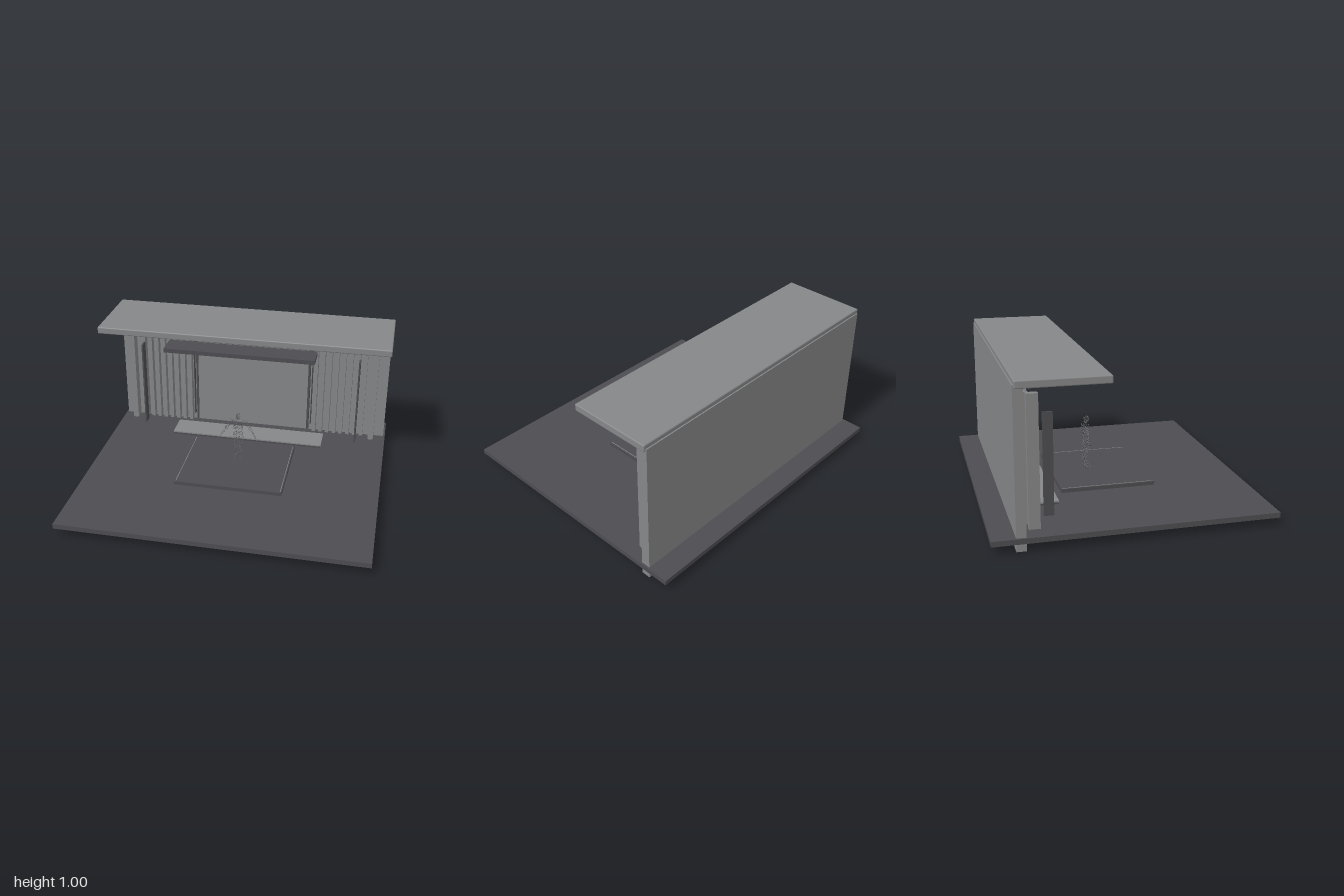
import * as THREE from 'three';
import { mergeGeometries } from 'three/addons/utils/BufferGeometryUtils.js';
import { RoundedBoxGeometry } from 'three/addons/geometries/RoundedBoxGeometry.js';

const material = (name, color) => {
  const m = new THREE.MeshStandardMaterial({ color });
  m.name = name;
  return m;
};

export function createModel() {
  const model = new THREE.Group();
  model.name = 'stageSet';
  const light = material('lightGrey', 0x858687);
  const dark = material('charcoal', 0x4d4c51);
  const dots = material('figureGrey', 0x5c5c5e);

  // Box given by its extents on each axis; r rounds the edges
  const box = (name, mat, [x0, x1], [y0, y1], [z0, z1], r = 0) => {
    const size = [x1 - x0, y1 - y0, z1 - z0];
    const geo = r ? new RoundedBoxGeometry(...size, 2, r) : new THREE.BoxGeometry(...size);
    const mesh = new THREE.Mesh(geo, mat);
    mesh.position.set((x0 + x1) / 2, (y0 + y1) / 2, (z0 + z1) / 2);
    mesh.name = name;
    model.add(mesh);
  };
  // Same box on both sides, centred at +x and -x
  const pair = (name, mat, x, w, y, z) => {
    for (const s of [1, -1]) {
      box(name + (s > 0 ? 'Left' : 'Right'), mat, [s * x - w / 2, s * x + w / 2], y, z);
    }
  };

  // Main shell
  box('floor', dark, [-1, 1], [0.05, 0.083], [-0.873, 0.873]);
  box('backWall', light, [-0.988, 0.988], [0, 0.967], [-0.73, -0.67]);
  box('roof', light, [-1, 1], [0.947, 0.995], [-0.722, -0.172], 0.008);

  // Hanging light bar with its diffuser
  box('lightBar', dark, [-0.51, 0.51], [0.886, 0.914], [-0.246, -0.092]);
  box('lightBarDiffuser', dark, [-0.49, 0.49], [0.88, 0.886], [-0.212, -0.104]);

  // Screen and its dark frame
  box('screen', light, [-0.412, 0.412], [0.096, 0.868], [-0.671, -0.65]);
  box('screenFrameTop', dark, [-0.428, 0.428], [0.866, 0.876], [-0.671, -0.646]);
  pair('screenFrameSide', dark, 0.42, 0.016, [0.096, 0.866], [-0.671, -0.646]);
  pair('screenLightStrip', dark, 0.442, 0.006, [0.14, 0.835], [-0.671, -0.64]);

  // Slatted side walls
  for (let i = 0; i < 8; i++) {
    pair('slat' + i, light, 0.47 + i * 0.05, 0.026, [0.096, 0.888], [-0.671, -0.62]);
  }
  pair('pilaster', light, 0.896, 0.038, [0.096, 0.898], [-0.645, -0.576]);
  pair('fin', dark, 0.785, 0.011, [0.118, 0.752], [-0.535, -0.473]);
  pair('valanceEnd', dark, 0.518, 0.008, [0.825, 0.888], [-0.622, -0.6]);

  // Rear ledge and centre platform with inlaid edge lines
  box('ledgeBase', dark, [-0.545, 0.545], [0.083, 0.097], [-0.578, -0.4]);
  box('ledgeTop', light, [-0.55, 0.55], [0.097, 0.106], [-0.578, -0.396]);
  box('platform', dark, [-0.367, 0.367], [0.083, 0.108], [-0.345, 0.275]);
  pair('platformInlay', light, 0.357, 0.004, [0.108, 0.11], [-0.335, 0.265]);

  // Figure made of small beads scattered over ellipsoids and tapered limbs
  let seed = 7;
  const rnd = () => (seed = (seed * 16807) % 2147483647) / 2147483647;
  const beads = [];
  const bead = (x, y, z) => beads.push(new THREE.OctahedronGeometry(0.0026).translate(x, y, z));
  const limb = (n, a, b, ra, rb, flat = 1) => {
    const A = new THREE.Vector3(...a), B = new THREE.Vector3(...b);
    const dir = B.clone().sub(A).normalize();
    const side = new THREE.Vector3(0, 0, 1);
    if (Math.abs(dir.z) > 0.9) side.set(0, 1, 0);
    side.addScaledVector(dir, -side.dot(dir)).normalize();
    const across = dir.clone().cross(side);
    for (let i = 0; i < n; i++) {
      const t = rnd(), q = rnd() * Math.PI * 2, r = ra + (rb - ra) * t;
      const p = A.clone().lerp(B, t)
        .addScaledVector(side, Math.sin(q) * r * flat)
        .addScaledVector(across, Math.cos(q) * r);
      bead(p.x, p.y, p.z);
    }
  };
  // Head, neck and torso
  for (let i = 0; i < 110; i++) {
    const v = 1 - 2 * rnd(), q = rnd() * Math.PI * 2, h = Math.sqrt(1 - v * v);
    bead(0.015 * h * Math.cos(q), 0.452 + 0.021 * v, -0.095 + 0.018 * h * Math.sin(q));
  }
  limb(20, [0, 0.432, -0.1], [0, 0.418, -0.102], 0.009, 0.012);
  limb(130, [0, 0.418, -0.103], [0, 0.345, -0.1], 0.041, 0.029, 0.58);
  limb(90, [0, 0.345, -0.1], [0, 0.285, -0.103], 0.029, 0.034, 0.65);
  // Arms, legs and feet
  for (const s of [1, -1]) {
    limb(50, [s * 0.042, 0.415, -0.103], [s * 0.08, 0.355, -0.105], 0.013, 0.009);
    limb(40, [s * 0.08, 0.355, -0.105], [s * 0.112, 0.305, -0.098], 0.009, 0.005);
    limb(14, [s * 0.112, 0.305, -0.098], [s * 0.124, 0.29, -0.094], 0.005, 0.003);
    limb(80, [s * 0.018, 0.29, -0.102], [s * 0.019, 0.205, -0.102], 0.018, 0.012);
    limb(65, [s * 0.019, 0.205, -0.104], [s * 0.019, 0.125, -0.11], 0.012, 0.007);
    limb(35, [s * 0.019, 0.117, -0.116], [s * 0.022, 0.116, -0.066], 0.007, 0.007);
  }
  const figure = new THREE.Mesh(mergeGeometries(beads), dots);
  figure.name = 'beadFigure';
  model.add(figure);

  return model;
}
